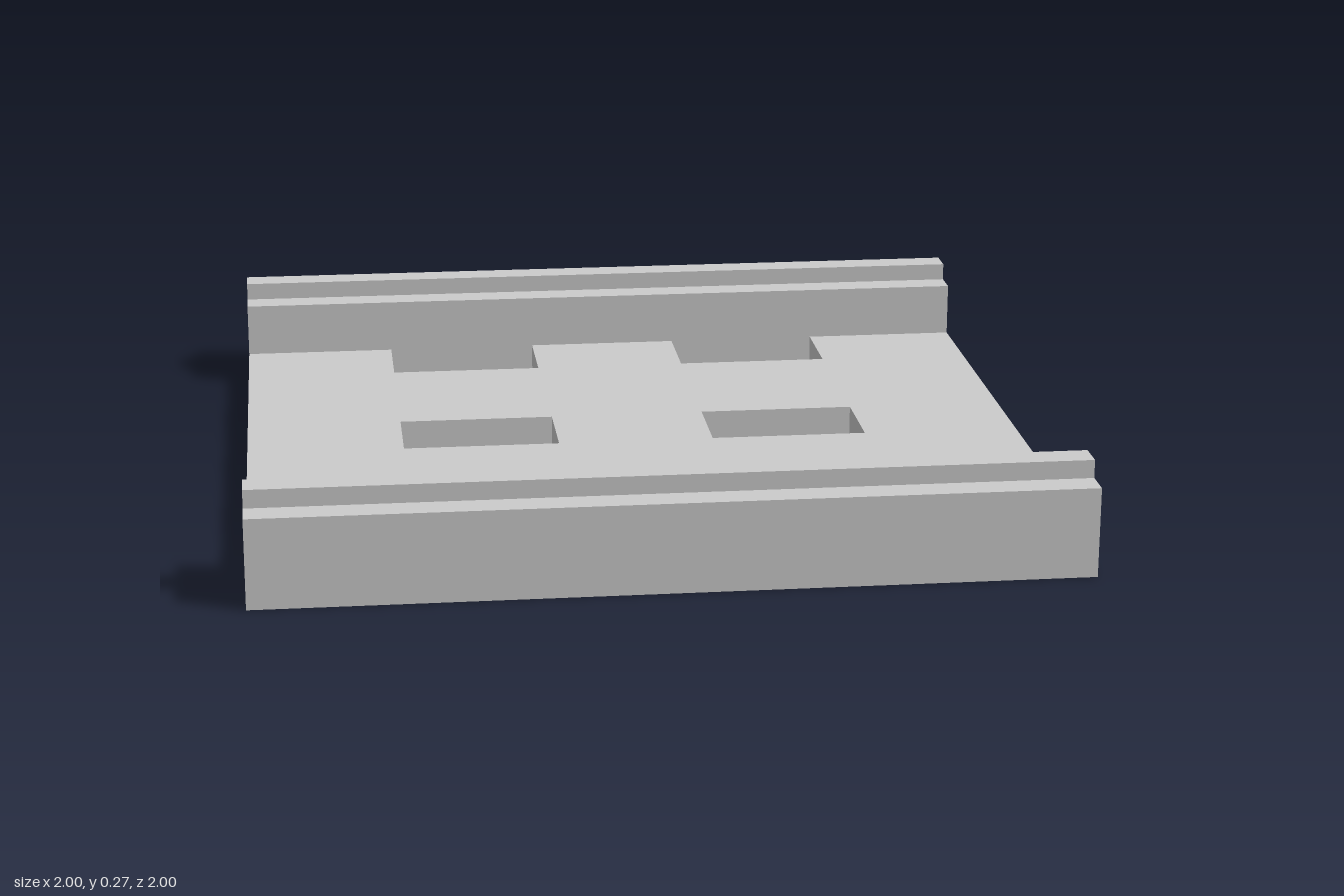
import * as THREE from 'three';

const PLATE = 0.083, WALL = 0.222, RIDGE = 0.267, GROOVE = 0.045;
const Z_IN = 0.778, Z_A = 0.852, Z_B = 0.926; // rail inner face, ridge and groove edges

// Rail section as [z, y], from the plate's underside round to its top
const rail = [
  [Z_IN, 0], [Z_A, 0], [Z_A, GROOVE], [Z_B, GROOVE], [Z_B, 0], [1, 0],
  [1, WALL], [Z_B, WALL], [Z_B, RIDGE], [Z_A, RIDGE], [Z_A, WALL],
  [Z_IN, WALL], [Z_IN, PLATE],
];
const mirrored = rail.map(([z, y]) => [-z, y]).reverse();

const material = new THREE.MeshStandardMaterial({ color: 0xcccccc, side: THREE.DoubleSide });

function makeMesh(name, geometry) {
  const mesh = new THREE.Mesh(geometry, material);
  mesh.name = name;
  return mesh;
}

// Flat four-cornered faces, corners counterclockwise seen from the front
function quadMesh(name, quads) {
  const positions = quads.flatMap(([a, b, c, d]) => [a, b, c, a, c, d].flat());
  const geometry = new THREE.BufferGeometry();
  geometry.setAttribute('position', new THREE.Float32BufferAttribute(positions, 3));
  geometry.computeVertexNormals();
  return makeMesh(name, geometry);
}

function railMesh(name, profile) {
  const quads = [];
  for (let i = 0; i < profile.length - 1; i++) {
    const [z0, y0] = profile[i], [z1, y1] = profile[i + 1];
    quads.push([[-1, y0, z0], [1, y0, z0], [1, y1, z1], [-1, y1, z1]]);
  }
  return quadMesh(name, quads);
}

export function createModel() {
  const group = new THREE.Group();

  // Tongue-and-groove rails along the front and back
  group.add(railMesh('frontRail', rail), railMesh('backRail', mirrored));

  // Floor plate as a grid of cells, six of them open
  const xs = [-1, -0.6, -0.2, 0.2, 0.6, 1];
  const zs = [-Z_IN, -0.556, -0.112, 0.112, 0.556, Z_IN];
  const floor = [], holes = [];
  for (let i = 0; i < 5; i++) {
    for (let j = 0; j < 5; j++) {
      const corners = [
        [xs[i], zs[j + 1]], [xs[i], zs[j]], [xs[i + 1], zs[j]], [xs[i + 1], zs[j + 1]],
      ];
      if (i % 2 === 1 && j % 2 === 0) {
        corners.forEach(([x0, z0], k) => {
          const [x1, z1] = corners[(k + 1) % 4];
          holes.push([[x0, 0, z0], [x1, 0, z1], [x1, PLATE, z1], [x0, PLATE, z0]]);
        });
      } else {
        floor.push(corners.map(([x, z]) => [x, 0, z]));
        floor.push(corners.map(([x, z]) => [x, PLATE, z]).reverse());
      }
    }
  }
  group.add(quadMesh('floorPlate', floor), quadMesh('holeWalls', holes));

  // Full end wall on the left; the right end is an open shell
  const outline = new THREE.Shape([...rail, ...mirrored].map(([z, y]) => new THREE.Vector2(z, y)));
  const end = new THREE.ShapeGeometry(outline).rotateY(Math.PI / 2).translate(1, 0, 0);
  group.add(makeMesh('leftEndWall', end));

  // On the right only the ridges and grooves are closed off
  const caps = [];
  for (const [z0, z1] of [[-Z_B, -Z_A], [Z_A, Z_B]]) {
    for (const [y0, y1] of [[0, GROOVE], [WALL, RIDGE]]) {
      caps.push([[-1, y0, z0], [-1, y0, z1], [-1, y1, z1], [-1, y1, z0]]);
    }
  }
  group.add(quadMesh('rightEndCaps', caps));

  return group;
}
